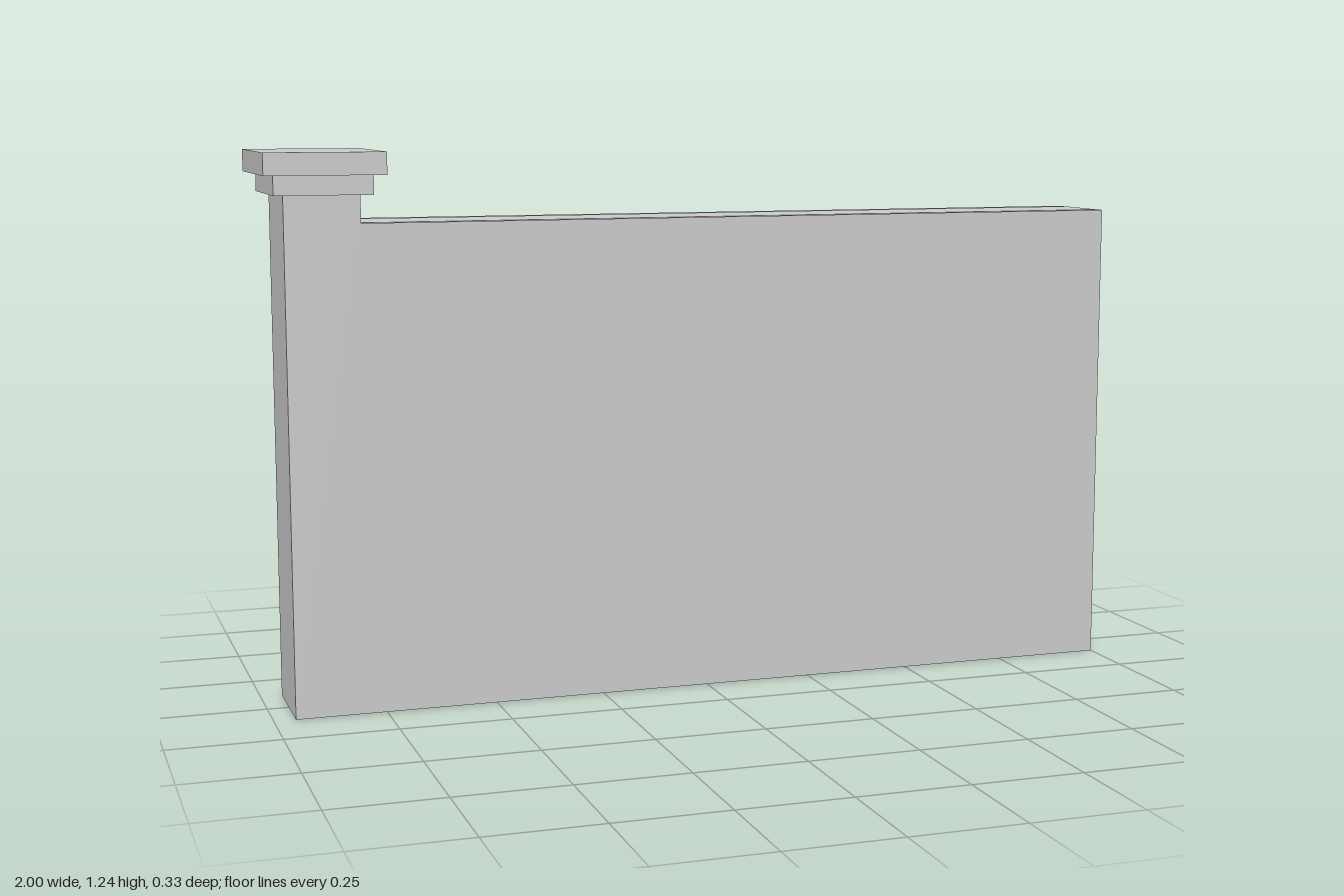
import * as THREE from 'three';

const WALL_H = 1.083, POST_H = 1.145;
const POST_L = -0.952, POST_R = -0.786, END = 1;
const HALF = 0.107, CORE = 0.078; // half depths of outer shell and inner core

export function createModel() {
  const group = new THREE.Group();
  group.name = 'wallWithPost';
  const solid = new THREE.MeshStandardMaterial({ color: 0xcccccc, flatShading: true });
  const sheet = new THREE.MeshStandardMaterial({ color: 0xcccccc, flatShading: true, side: THREE.DoubleSide });

  const add = (name, geometry, material) => {
    const mesh = new THREE.Mesh(geometry, material);
    mesh.name = name;
    group.add(mesh);
    return mesh;
  };

  // Flat upright panel turned about y, centred at x, z and spanning y0..y1
  const panel = (name, width, y0, y1, x, z, turn) => {
    const mesh = add(name, new THREE.PlaneGeometry(width, y1 - y0), sheet);
    mesh.position.set(x, (y0 + y1) / 2, z);
    mesh.rotation.y = turn;
  };

  // Stepped outer faces: post and wall in one sheet, front and back
  for (const side of [1, -1]) {
    const outline = [
      [POST_L, 0], [END, 0], [END, WALL_H],
      [POST_R, WALL_H], [POST_R, POST_H], [POST_L, POST_H],
    ].map(([x, y]) => new THREE.Vector2(x * side, y));
    const face = add(side > 0 ? 'frontFace' : 'backFace', new THREE.ShapeGeometry(new THREE.Shape(outline)), sheet);
    face.position.z = side * HALF;
    face.rotation.y = side > 0 ? 0 : Math.PI;
  }

  // End faces of the shell and the part of the post above the wall
  panel('wallEnd', 2 * HALF, 0, WALL_H, END, 0, Math.PI / 2);
  panel('postEnd', 2 * HALF, 0, POST_H, POST_L, 0, -Math.PI / 2);
  panel('postShoulder', 2 * HALF, WALL_H, POST_H, POST_R, 0, Math.PI / 2);

  // Inner core, open below, leaving a narrow slot along each outer face
  const length = END - POST_R, middle = (END + POST_R) / 2;
  panel('coreFront', length, 0, WALL_H, middle, CORE, 0);
  panel('coreBack', length, 0, WALL_H, middle, -CORE, Math.PI);
  const top = add('coreTop', new THREE.PlaneGeometry(length, 2 * CORE), sheet);
  top.position.set(middle, WALL_H, 0);
  top.rotation.x = -Math.PI / 2;

  // Two-step cap on the post
  const steps = [
    ['capNeck', 0.214, 0.272, POST_H, 1.188],
    ['capSlab', 0.262, 0.33, 1.188, 1.237],
  ];
  for (const [name, width, depth, y0, y1] of steps) {
    add(name, new THREE.BoxGeometry(width, y1 - y0, depth), solid).position.set(-0.869, (y0 + y1) / 2, 0);
  }
  return group;
}
